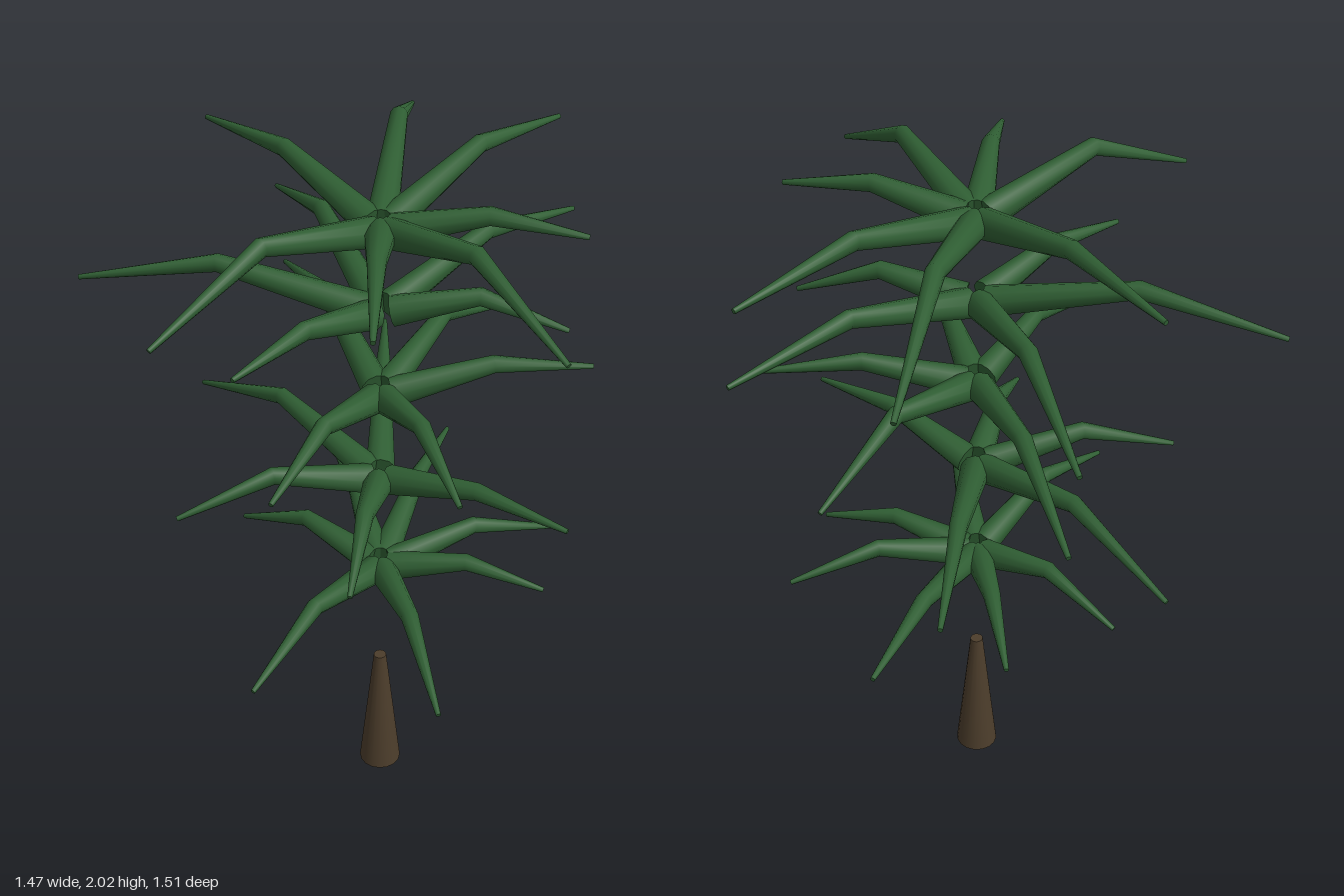
import * as THREE from 'three';

const CENTER = { x: 0.028, z: 0.013 };

// Each whorl: underside height and its leaf tips as [x, y, z]
const WHORLS = [
  { y: 0.748, tips: [[-0.46, 0.755, 0.125], [-0.44, 0.8, -0.25], [0.58, 0.77, 0.325], [0.44, 0.79, -0.245],
    [0.25, 0.78, -0.5], [0.18, 0.78, 0.63], [-0.28, 0.84, -0.58]] },
  { y: 1.066, tips: [[0.33, 1.075, 0.41], [0.6, 1.155, -0.13], [-0.23, 1.09, 0.54], [-0.52, 1.16, -0.53],
    [-0.73, 1.085, 0.045]] },
  { y: 1.347, tips: [[-0.71, 1.39, -0.285], [0.51, 1.355, 0.195], [0.38, 1.43, -0.46], [0.195, 1.375, 0.55],
    [-0.14, 1.335, -0.62]] },
  { y: 1.607, tips: [[0.07, 1.685, 0.55], [-0.64, 1.665, 0.5], [-0.73, 1.64, -0.28], [0.03, 1.68, -0.75],
    [0.41, 1.62, -0.305]] },
  { y: 1.846, tips: [[0.02, 1.83, 0.75], [0.735, 1.83, 0.09], [-0.54, 1.85, -0.66], [0.46, 1.915, -0.295],
    [0.43, 1.895, 0.42], [-0.05, 1.935, -0.755], [-0.71, 1.945, -0.02]] },
];

// Tapered leaf along +x: rises to a knee, then droops to a blunt tip
function leafGeometry(length, tipRise) {
  const pts = [
    new THREE.Vector2(0.032, 0.042),
    new THREE.Vector2(length * 0.53, 0.04 + 0.12 * length),
    new THREE.Vector2(length, tipRise),
  ];
  const radii = [0.043, 0.025, 0.007];
  const lower = pts[1].clone().sub(pts[0]).normalize();
  const upper = pts[2].clone().sub(pts[1]).normalize();
  const tangents = [lower, lower.clone().add(upper).normalize(), upper];

  const geo = new THREE.CylinderGeometry(1, 1, 1, 10, 2, false, Math.PI);
  const pos = geo.attributes.position;
  for (let i = 0; i < pos.count; i++) {
    const ring = Math.round((pos.getY(i) + 0.5) * 2);
    const r = radii[ring], t = tangents[ring], p = pts[ring];
    const up = pos.getZ(i) * r, side = pos.getX(i) * r;
    pos.setXYZ(i, p.x - t.y * up, p.y + t.x * up, side);
  }
  geo.computeVertexNormals();
  return geo;
}

export function createModel() {
  const model = new THREE.Group();
  model.name = 'tree';
  const bark = new THREE.MeshStandardMaterial({ color: 0x4c3d2b });
  const green = new THREE.MeshStandardMaterial({ color: 0x2f5e33 });

  // Trunk stump
  const trunk = new THREE.Mesh(new THREE.CylinderGeometry(0.019, 0.064, 0.432, 16), bark);
  trunk.name = 'trunk';
  trunk.position.set(CENTER.x, 0.216, CENTER.z);
  model.add(trunk);

  // Floating whorls of leaves
  WHORLS.forEach(({ y, tips }, w) => {
    const whorl = new THREE.Group();
    whorl.name = `leafWhorl${w + 1}`;
    whorl.position.set(CENTER.x, y, CENTER.z);
    tips.forEach(([tx, ty, tz], i) => {
      const dx = tx - CENTER.x, dz = tz - CENTER.z;
      const leaf = new THREE.Mesh(leafGeometry(Math.hypot(dx, dz), ty - y), green);
      leaf.name = `leaf${i + 1}`;
      leaf.rotation.y = -Math.atan2(dz, dx);
      whorl.add(leaf);
    });
    model.add(whorl);
  });
  return model;
}
